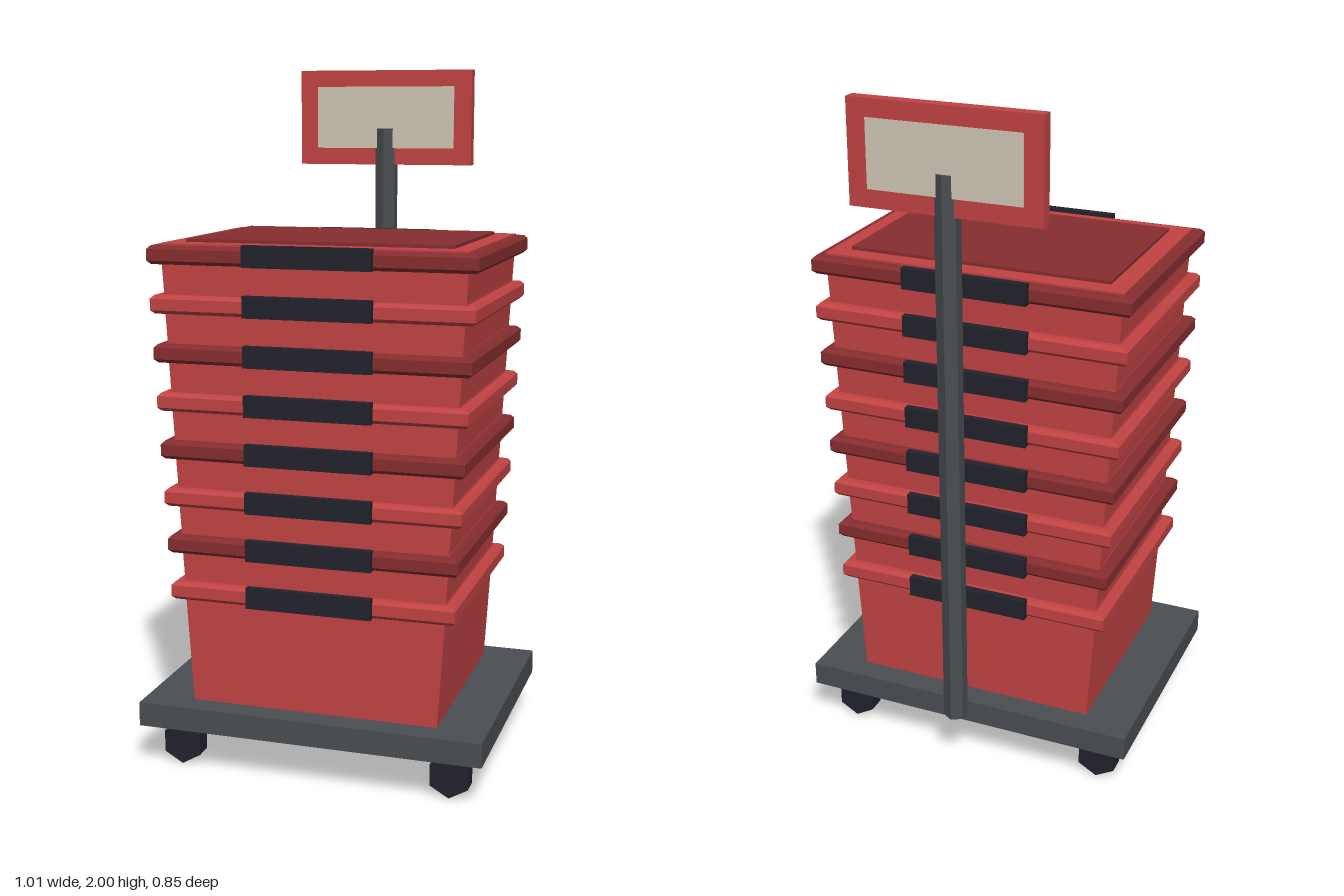
import * as THREE from 'three';

const mat = (name, color) => {
  const m = new THREE.MeshStandardMaterial({ color, flatShading: true });
  m.name = name;
  return m;
};

export function createModel() {
  const red = mat('red', 0xc24343);
  const darkRed = mat('dark red', 0x862d2f);
  const grey = mat('grey', 0x4a4e52);
  const black = mat('black', 0x22222d);
  const beige = mat('beige', 0xd0c7b5);

  const model = new THREE.Group();
  model.name = 'binTrolley';
  const CZ = 0.045; // centre of the platform and the stack

  const add = (name, geometry, material, x, y, z) => {
    const mesh = new THREE.Mesh(geometry, material);
    mesh.name = name;
    mesh.position.set(x, y, z);
    model.add(mesh);
    return mesh;
  };
  const box = (name, w, h, d, material, x, y, z) =>
    add(name, new THREE.BoxGeometry(w, h, d), material, x, y, z);

  // Box whose sides lean outwards in x towards the top
  const taperedBox = (bottomHalf, topHalf, h, d) => {
    const g = new THREE.BoxGeometry(2, h, d);
    const p = g.attributes.position;
    for (let i = 0; i < p.count; i++) {
      p.setX(i, p.getX(i) * (p.getY(i) > 0 ? topHalf : bottomHalf));
    }
    g.computeVertexNormals();
    return g;
  };

  // Flat slab with chamfered top and bottom edges, centred on its middle
  const chamferedSlab = (halfX, halfZ, h, c) => {
    const x = halfX - c, z = halfZ - c;
    const shape = new THREE.Shape([
      new THREE.Vector2(-x, -z), new THREE.Vector2(x, -z),
      new THREE.Vector2(x, z), new THREE.Vector2(-x, z),
    ]);
    const g = new THREE.ExtrudeGeometry(shape, {
      depth: h - 2 * c, bevelEnabled: true, bevelSize: c, bevelThickness: c, bevelSegments: 1,
    });
    return g.translate(0, 0, c - h / 2).rotateX(-Math.PI / 2);
  };

  // Platform and wheels
  box('platform', 1.01, 0.07, 0.76, grey, 0, 0.165, CZ);
  const wheel = new THREE.CylinderGeometry(0.063, 0.063, 0.055, 6).rotateX(Math.PI / 2);
  for (const sx of [-1, 1]) {
    for (const sz of [-1, 1]) add('wheel', wheel, black, sx * 0.4, 0.063, CZ + sz * 0.29);
  }

  // Nested bins, each a little wider than the one below, rims alternating in colour
  for (let i = 0; i < 8; i++) {
    const grow = i * 0.0074;
    const rimY = 0.533 + i * 0.1367;
    const bottom = 0.2 + i * 0.1367;
    const top = rimY + 0.031;
    add('binBody', taperedBox(0.362 + grow, 0.385 + grow, top - bottom, 0.616),
      red, 0, (bottom + top) / 2, CZ);
    add('binRim', chamferedSlab(0.415 + grow, 0.336, 0.052, 0.01),
      i % 2 ? darkRed : red, 0, rimY, CZ);
    for (const s of [-1, 1]) {
      box('handle', 0.364, 0.06, 0.022, black, 0, rimY + 0.004, CZ + s * 0.343);
    }
  }

  // Inset panel on top of the stack
  box('lidPanel', 0.764, 0.009, 0.508, darkRed, 0, 1.5255, CZ);

  // Post and sign behind the stack
  add('post', new THREE.CylinderGeometry(0.035, 0.035, 1.635, 6), grey, 0, 1.0075, -0.392);
  box('signFrame', 0.542, 0.285, 0.037, red, 0, 1.8575, -0.393);
  box('signPanel', 0.434, 0.186, 0.043, beige, 0, 1.858, -0.393);

  return model;
}
